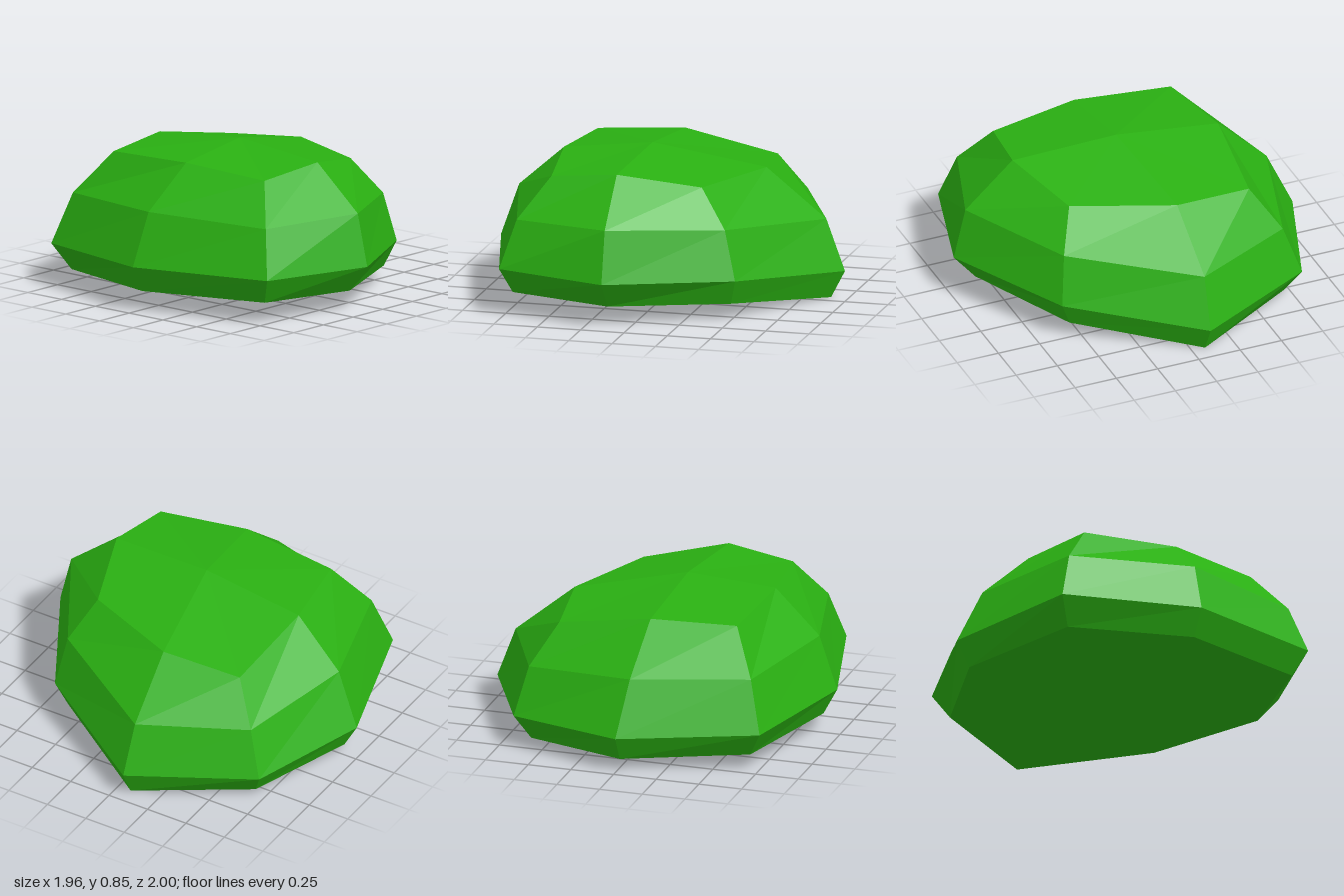
import * as THREE from 'three';

// Cross-sections from bottom to top: eight [x, y, z] corners each, starting at the back
// and going round past +x, the front and -x.
const RINGS = [
  [[-0.01, 0.065, -0.92], [0.58, 0.045, -0.7], [0.9, 0, -0.08], [0.5, 0.095, 0.57],
    [-0.13, 0.11, 0.87], [-0.71, 0.125, 0.75], [-0.9, 0.11, 0.01], [-0.7, 0.09, -0.69]],
  [[-0.01, 0.21, -1], [0.66, 0.19, -0.77], [0.98, 0.155, -0.08], [0.54, 0.24, 0.63],
    [-0.13, 0.265, 1], [-0.77, 0.27, 0.82], [-0.98, 0.26, 0.01], [-0.78, 0.24, -0.77]],
  [[-0.05, 0.52, -0.86], [0.6, 0.46, -0.68], [0.87, 0.445, -0.09], [0.47, 0.52, 0.59],
    [-0.13, 0.56, 0.93], [-0.69, 0.54, 0.74], [-0.87, 0.56, 0.03], [-0.7, 0.53, -0.68]],
  [[-0.08, 0.785, -0.58], [0.47, 0.685, -0.53], [0.53, 0.725, -0.07], [0.31, 0.73, 0.49],
    [-0.14, 0.81, 0.64], [-0.53, 0.765, 0.59], [-0.6, 0.8, 0.07], [-0.56, 0.77, -0.5]],
];
const CROWN = [-0.1, 0.85, 0.03];
const BASE = [0, 0.065, 0];

// Non-indexed geometry from a list of triangles
function facets(triangles) {
  const geometry = new THREE.BufferGeometry();
  geometry.setAttribute('position', new THREE.Float32BufferAttribute(triangles.flat(2), 3));
  geometry.computeVertexNormals();
  return geometry;
}

export function createModel() {
  const green = new THREE.MeshStandardMaterial({ color: 0x2ab012, flatShading: true });
  green.name = 'leaf green';
  const sides = [], crown = [], underside = [];
  const n = RINGS[0].length;
  const last = RINGS.length - 1;

  for (let i = 0; i < n; i++) {
    const j = (i + 1) % n;
    // Bands between neighbouring rings
    for (let r = 0; r < last; r++) {
      const low = RINGS[r], high = RINGS[r + 1];
      sides.push([low[j], low[i], high[i]], [low[j], high[i], high[j]]);
    }
    // Fans closing the top and the bottom
    crown.push([CROWN, RINGS[last][j], RINGS[last][i]]);
    underside.push([BASE, RINGS[0][i], RINGS[0][j]]);
  }

  const model = new THREE.Group();
  model.name = 'facetedDome';
  for (const [name, triangles] of Object.entries({ sides, crown, underside })) {
    const mesh = new THREE.Mesh(facets(triangles), green);
    mesh.name = name;
    model.add(mesh);
  }
  return model;
}
